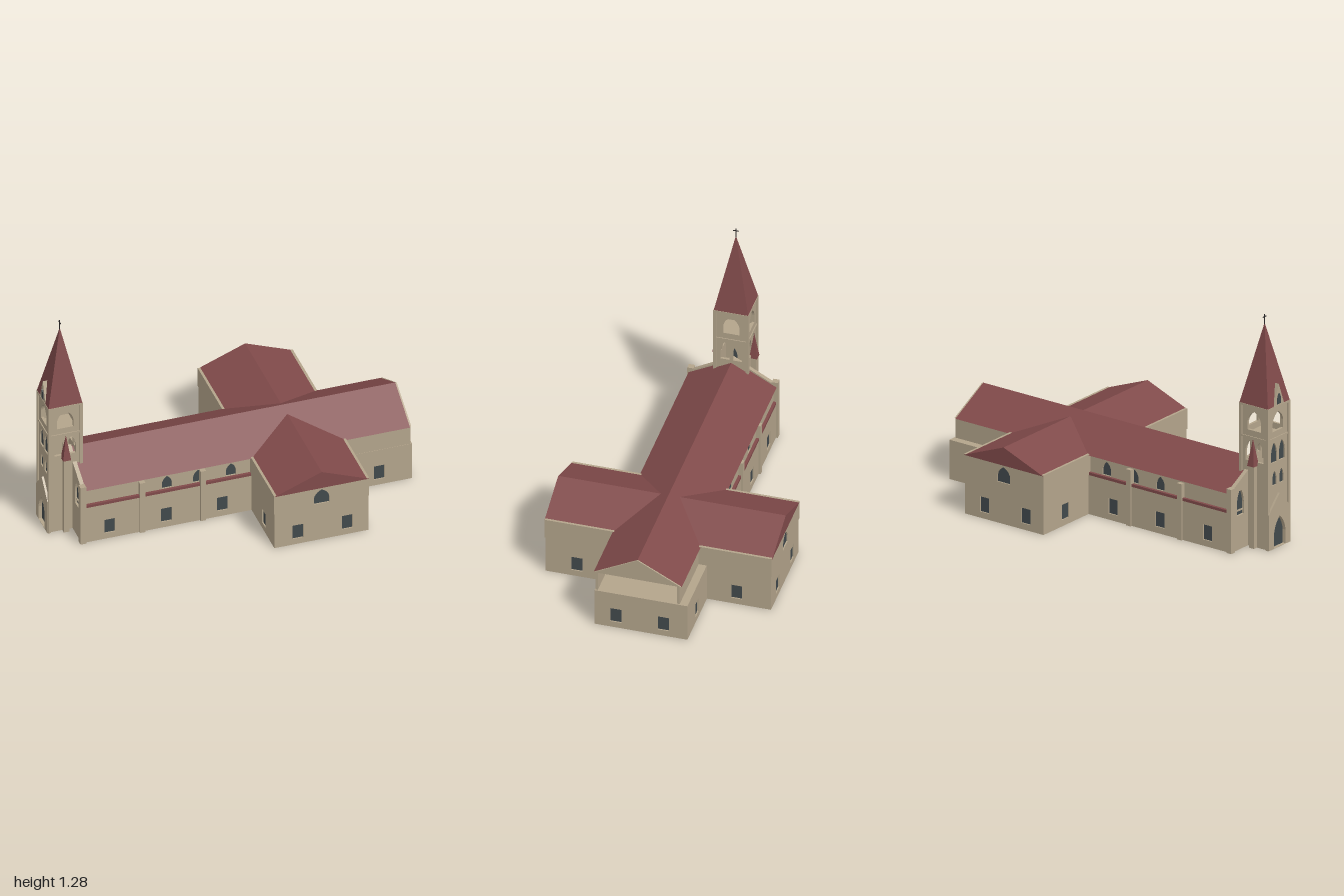
import * as THREE from 'three';

const mat = (name, color, side = THREE.FrontSide) => {
  const m = new THREE.MeshStandardMaterial({ color, side });
  m.name = name;
  return m;
};

export function createModel() {
  const stone = mat('stone', 0xb3a48b);
  const tile = mat('roofTile', 0x804a4a);
  const glass = mat('glass', 0x41494c);
  const iron = mat('iron', 0x2b2929);

  const model = new THREE.Group();
  model.name = 'church';
  // church frame: x along the nave, z across it, origin at the crossing
  const church = new THREE.Group();
  church.name = 'churchBody';
  church.position.set(0.335, 0, 0.01);
  church.rotation.y = -0.16;
  model.add(church);

  const add = (parent, name, geo, material, x = 0, y = 0, z = 0) => {
    const m = new THREE.Mesh(geo, material);
    m.name = name;
    m.position.set(x, y, z);
    parent.add(m);
    return m;
  };
  // box given by its limits
  const block = (parent, name, material, x0, x1, y0, y1, z0, z1) =>
    add(parent, name, new THREE.BoxGeometry(x1 - x0, y1 - y0, z1 - z0), material,
      (x0 + x1) / 2, (y0 + y1) / 2, (z0 + z1) / 2);
  // outline of a rectangular or pointed-arch opening
  const outline = (path, { x, y, w, h, arch }) => {
    const a = w / 2, s = arch ? y + h * 0.45 : y + h;
    path.moveTo(x - a, y);
    path.lineTo(x + a, y);
    path.lineTo(x + a, s);
    if (arch) {
      path.quadraticCurveTo(x + a * 0.85, y + h * 0.8, x, y + h);
      path.quadraticCurveTo(x - a * 0.85, y + h * 0.8, x - a, s);
    } else path.lineTo(x - a, s);
    path.closePath();
    return path;
  };
  const extrude = (shape, depth) =>
    new THREE.ExtrudeGeometry(shape, { depth, bevelEnabled: false, curveSegments: 5 });
  const polygon = pts => new THREE.Shape(pts.map(p => new THREE.Vector2(...p)));

  // wall whose outer face lies at distance d in the direction given by angle
  const wall = (parent, name, angle, d, x0, x1, y0, y1, openings = [], t = 0.014) => {
    const g = new THREE.Group();
    g.name = name;
    g.rotation.y = angle;
    parent.add(g);
    const shape = polygon([[x0, y0], [x1, y0], [x1, y1], [x0, y1]]);
    for (const o of openings) {
      shape.holes.push(outline(new THREE.Path(), o));
      if (!o.open) add(g, 'windowPane', extrude(outline(new THREE.Shape(), o), 0.004), glass, 0, 0, d - t * 0.8);
    }
    add(g, 'wallPanel', extrude(shape, t), stone, 0, 0, d - t);
    return g;
  };
  const gablePrism = (parent, name, material, half, y0, y1, z0, z1, angle = 0) => {
    const g = new THREE.Group();
    g.rotation.y = angle;
    g.name = name;
    parent.add(g);
    add(g, name + 'Body', extrude(polygon([[-half, y0], [half, y0], [0, y1]]), z1 - z0), material, 0, 0, z0);
  };
  const square = x => ({ x, y: 0.035, w: 0.06, h: 0.085 });
  const lancet = (x, y, w, h, open = false) => ({ x, y, w, h, open, arch: true });

  const E = 0.63, W = -1.2, T = 0.26, L = 0.605, N = 0.236, F = 0.22, EAVE = 0.335;
  const east = Math.PI / 2;

  // nave, choir and transept walls on both long sides
  for (const s of [1, -1]) {
    const ang = s > 0 ? 0 : Math.PI;
    const end = s > 0 ? L : L + 0.018;
    const choir = s > 0 ? 0.232 : 0.274;
    const span = (name, d, a, b, y0, y1, wins) =>
      wall(church, name, ang, d, Math.min(a * s, b * s), Math.max(a * s, b * s), y0, y1, wins);

    span('naveLowerWall', N, W, -T, 0, F, [-1.045, -0.731, -0.422].map(u => square(u * s)));
    span('naveClerestory', 0.222, W, -T, F, EAVE, [-0.724, -0.552, -0.37].map(u => lancet(u * s, 0.238, 0.055, 0.075)));
    span('choirLowerWall', choir, T, E, 0, F, [square(0.448 * s)]);
    span('choirUpperWall', 0.23, T, E - 0.008, F, EAVE, []);
    span('transeptEndLower', end, -T, T, 0, F, [square(-0.13), square(0.143)]);
    span('transeptEndUpper', end + 0.004, -T - 0.003, T + 0.003, F, EAVE, [lancet(0, 0.232, 0.085, 0.088)]);

    // aisle ledge and pilasters
    const z0 = s > 0 ? 0.215 : -0.238, z1 = s > 0 ? 0.238 : -0.215;
    block(church, 'aisleRoofStrip', tile, W + 0.01, -T, F, 0.235, z0, z1);
    for (const u of [-0.866, -0.53])
      block(church, 'pilaster', stone, u - 0.015, u + 0.015, 0, 0.315, s > 0 ? 0.215 : -0.247, s > 0 ? 0.247 : -0.215);
    block(church, 'cornerPier', stone, W - 0.01, W + 0.022, 0, 0.36, s * 0.23 - 0.017, s * 0.23 + 0.017);

    // transept walls facing east and west
    for (const e of [1, -1]) {
      const k = -e * s; // sign of the wall's own axis on this arm
      const lo = k > 0 ? N - 0.014 : -end, hi = k > 0 ? end : -N + 0.014;
      wall(church, 'transeptSideLower', e * east, T, lo, hi, 0, F, [square(k * 0.435)]);
      wall(church, 'transeptSideUpper', e * east, T + 0.003, k > 0 ? 0 : -end, k > 0 ? end : 0, F, EAVE);
    }
  }

  // choir end, ceilings over the open ground floor
  wall(church, 'choirEndWall', east, E, -0.232, 0.274, 0, F, [square(-0.116), square(0.143)]);
  block(church, 'naveCeiling', stone, W + 0.005, T, F - 0.008, F - 0.001, -0.23, 0.23);
  block(church, 'choirCeiling', stone, T, E - 0.003, F - 0.008, F, -0.271, 0.229);
  block(church, 'transeptCeiling', stone, -T + 0.003, T - 0.003, F - 0.009, F - 0.002, -L - 0.01, L - 0.004);

  // roofs and gables
  gablePrism(church, 'mainRoof', tile, 0.24, 0.33, 0.46, W + 0.02, E - 0.014, east);
  gablePrism(church, 'choirGable', stone, 0.236, 0.333, 0.458, E - 0.014, E - 0.006, east);
  gablePrism(church, 'transeptRoof', tile, T + 0.002, 0.33, 0.432, -L - 0.024, L + 0.006);

  // west front on either side of the tower
  wall(church, 'westFront', -east, -W, -N, N, 0, EAVE,
    [lancet(-0.155, 0.19, 0.06, 0.15), lancet(0.155, 0.19, 0.06, 0.15)], 0.02);
  gablePrism(church, 'westGable', stone, 0.245, EAVE, 0.472, -W - 0.022, -W, -east);

  // tower
  const tower = new THREE.Group();
  tower.name = 'tower';
  tower.position.x = -1.241;
  church.add(tower);
  const R = 0.088;
  for (let i = 0; i < 4; i++) {
    const a = i * east, west = i === 3;
    const base = west ? [lancet(0, 0.002, 0.1, 0.17), lancet(-0.03, 0.35, 0.035, 0.08), lancet(0.03, 0.35, 0.035, 0.08)] : [];
    wall(tower, 'towerBaseWall', a, R, -R, R, 0, 0.46, base);
    wall(tower, 'belfryLowerWall', a, R, -R, R, 0.46, 0.61,
      [-0.034, 0.034].map(x => lancet(x, 0.478, 0.05, 0.112, !west)));
    wall(tower, 'belfryUpperWall', a, R, -R, R, 0.61, 0.79, [lancet(0, 0.65, 0.09, 0.107, true)]);
    const cx = i % 2 ? 1 : -1, cz = i < 2 ? 1 : -1;
    block(tower, 'cornerShaft', stone, cx * R - 0.008, cx * R + 0.008, 0, 0.79, cz * R - 0.008, cz * R + 0.008);
  }
  block(tower, 'lowerCornice', stone, -0.093, 0.093, 0.606, 0.616, -0.093, 0.093);
  block(tower, 'upperCornice', stone, -0.096, 0.096, 0.782, 0.793, -0.096, 0.096);

  // portal surround and its steep gable
  const portal = polygon([[-0.094, 0], [0.094, 0], [0.094, 0.2], [0, 0.3], [-0.094, 0.2]]);
  portal.holes.push(outline(new THREE.Path(), lancet(0, 0.002, 0.1, 0.17)));
  add(tower, 'portalSurround', extrude(portal, 0.012), stone, -R, 0, 0).rotation.y = -east;

  // dormer gable at the foot of the spire
  gablePrism(tower, 'spireDormer', stone, 0.045, 0.79, 0.91, 0.06, 0.094, -east);
  const dormerPane = add(tower, 'dormerWindow', extrude(outline(new THREE.Shape(), lancet(0, 0.8, 0.03, 0.06)), 0.004), glass, -0.093);
  dormerPane.rotation.y = -east;

  // pyramid spire with cross
  const pyramid = (r, h) => {
    const g = new THREE.ConeGeometry(r * Math.SQRT2, h, 4, 1).toNonIndexed();
    g.rotateY(Math.PI / 4);
    g.computeVertexNormals();
    return g;
  };
  add(tower, 'spire', pyramid(0.094, 0.44), tile, 0, 1.012, 0);
  block(tower, 'crossPost', iron, -0.002, 0.002, 1.22, 1.28, -0.002, 0.002);
  block(tower, 'crossBar', iron, -0.002, 0.002, 1.263, 1.267, -0.014, 0.014);

  // side turrets leaning on the tower
  for (const s of [1, -1]) {
    block(tower, 'turretShaft', stone, -0.016, 0.016, 0, 0.46, s * 0.098 - 0.016, s * 0.098 + 0.016);
    add(tower, 'turretRoof', pyramid(0.022, 0.15), tile, 0, 0.535, s * 0.1);
  }
  return model;
}
